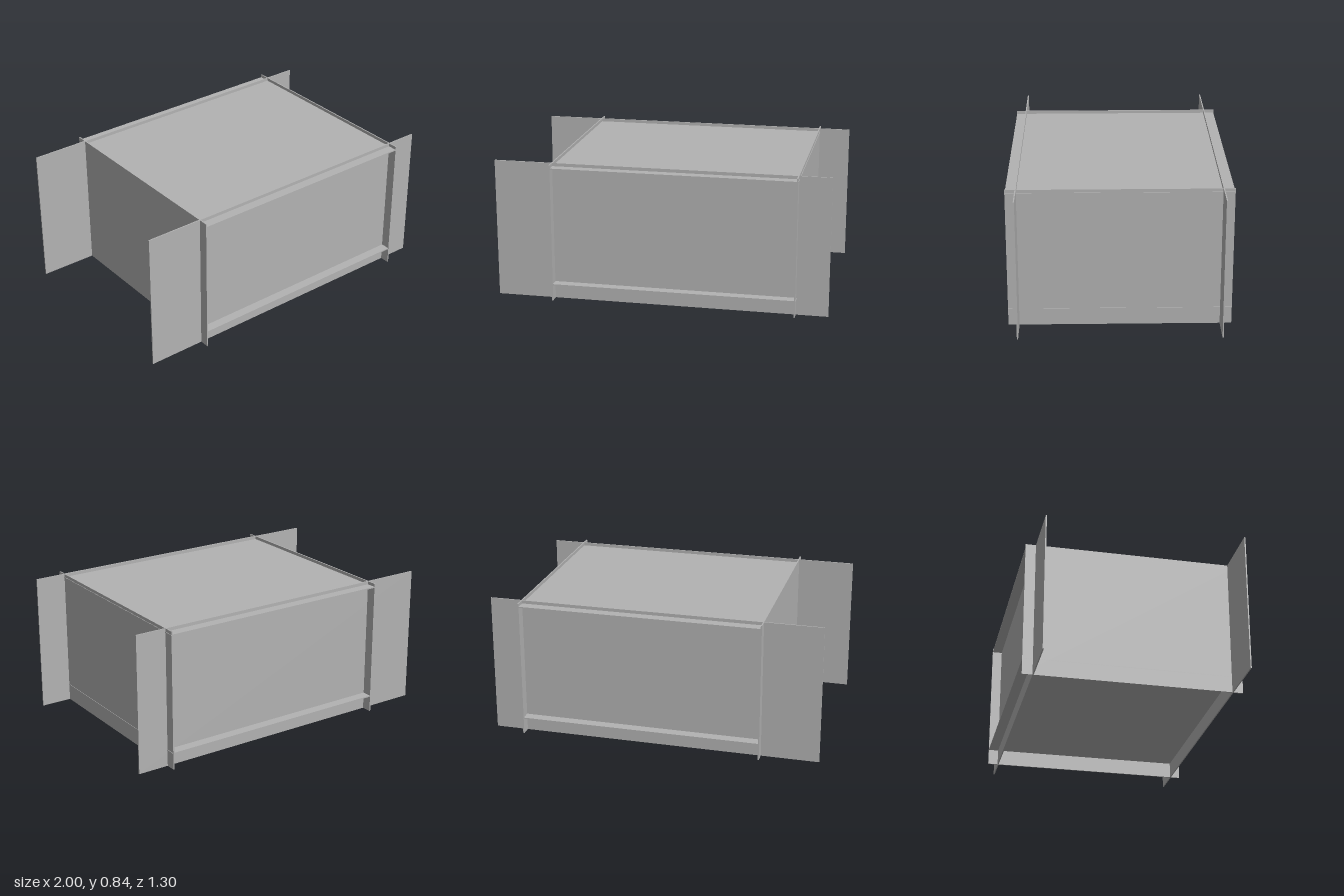
import * as THREE from 'three';

const T = 0.007; // sheet thickness
const HEIGHT = 0.84;
const DEPTH = 1.3;
const LEFT_X = 0.813, RIGHT_X = -0.653; // outer ends of the shelves

export function createModel() {
  const model = new THREE.Group();
  model.name = 'interlockingPanelBox';

  const grey = new THREE.MeshStandardMaterial({ color: 0xb2b2b2 });
  grey.name = 'panelGrey';

  const addPanel = (name, size, position) => {
    const panel = new THREE.Mesh(new THREE.BoxGeometry(...size), grey);
    panel.name = name;
    panel.position.set(...position);
    model.add(panel);
  };

  // Long front and back walls, running past the sides
  addPanel('frontWall', [2, HEIGHT, T], [0, HEIGHT / 2, 0.589]);
  addPanel('backWall', [2, HEIGHT, T], [0, HEIGHT / 2, -0.585]);

  // Side walls, running past the front and back
  addPanel('rightWall', [T, HEIGHT, DEPTH], [RIGHT_X + T / 2, HEIGHT / 2, 0]);
  addPanel('leftWall', [T, HEIGHT, DEPTH], [0.8065, HEIGHT / 2, 0]);

  // Floor and lid, flush on the right and just proud of the left wall
  const width = LEFT_X - RIGHT_X;
  const middle = (LEFT_X + RIGHT_X) / 2;
  addPanel('floorPanel', [width, T, DEPTH - 0.002], [middle, 0.1005, 0]);
  addPanel('lidPanel', [width, T, DEPTH - 0.002], [middle, 0.8175, 0]);

  return model;
}
